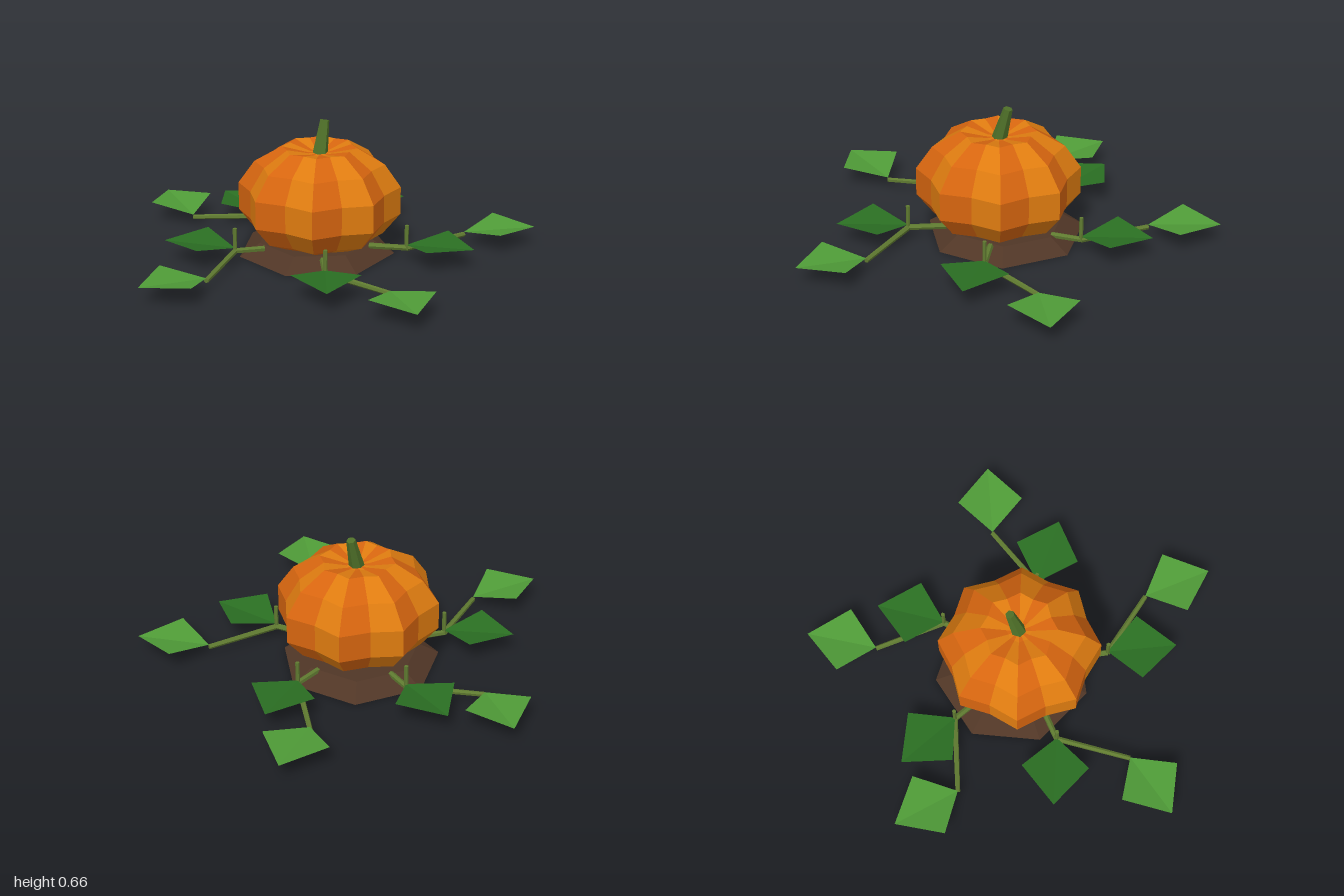
import * as THREE from 'three';
import { mergeGeometries } from 'three/addons/utils/BufferGeometryUtils.js';

const material = (name, color, extra = {}) => {
  const m = new THREE.MeshStandardMaterial({ color, flatShading: true, ...extra });
  m.name = name;
  return m;
};

export function createModel() {
  const model = new THREE.Group();
  const orange = material('orange', 0xdf7c10);
  const deepOrange = material('deepOrange', 0xd6650f);
  const soil = material('soil', 0x503626);
  const stemGreen = material('stemGreen', 0x4f7028);
  const vineGreen = material('vineGreen', 0x5f7a30);
  const darkLeaf = material('darkLeaf', 0x2a6e22, { side: THREE.DoubleSide });
  const lightLeaf = material('lightLeaf', 0x4f9b37, { side: THREE.DoubleSide });

  const add = (name, geometry, mat, parent = model) => {
    const mesh = new THREE.Mesh(geometry, mat);
    mesh.name = name;
    parent.add(mesh);
    return mesh;
  };

  // Tapered rod between two points
  const rod = (name, a, b, r0, r1, mat, parent, sides = 6) => {
    const from = new THREE.Vector3(...a), to = new THREE.Vector3(...b);
    const dir = to.clone().sub(from);
    const mesh = add(name, new THREE.CylinderGeometry(r1, r0, dir.length(), sides), mat, parent);
    mesh.position.copy(from).add(to).multiplyScalar(0.5);
    mesh.quaternion.setFromUnitVectors(new THREE.Vector3(0, 1, 0), dir.normalize());
    return mesh;
  };

  // Seven-sided soil mound
  const mound = add('soilMound', new THREE.CylinderGeometry(0.28, 0.38, 0.06, 7), soil);
  mound.position.set(0.1, 0.03, -0.05);
  mound.rotation.y = THREE.MathUtils.degToRad(92.6);

  // Pumpkin: sixteen strips, with eight ridges and eight shallow valleys
  const profile = [
    [0, 0.05], [0.18, 0.05], [0.305, 0.105], [0.387, 0.205], [0.387, 0.34],
    [0.31, 0.45], [0.18, 0.527], [0.06, 0.502], [0, 0.5],
  ].map(([r, y]) => new THREE.Vector2(r, y));
  const strips = [[], []];
  const step = Math.PI / 8;
  for (let i = 0; i < 16; i++) {
    const strip = new THREE.LatheGeometry(profile, 1, i * step, step);
    const p = strip.attributes.position;
    for (let k = 0; k < p.count; k++) {
      const column = i + (k < profile.length ? 0 : 1);
      const s = column % 2 ? 0.88 : 1;
      p.setXYZ(k, p.getX(k) * s, p.getY(k), p.getZ(k) * s);
    }
    strips[i % 2].push(strip);
  }
  const pumpkin = new THREE.Group();
  pumpkin.name = 'pumpkin';
  pumpkin.position.set(0.088, 0, -0.012);
  model.add(pumpkin);
  add('pumpkinDeepStrips', mergeGeometries(strips[0]), deepOrange, pumpkin);
  add('pumpkinLightStrips', mergeGeometries(strips[1]), orange, pumpkin);

  // Leaning stem
  rod('stem', [0.092, 0.49, -0.012], [0.133, 0.65, -0.027], 0.037, 0.022, stemGreen, model);

  // Kite-shaped leaf folded along a low midrib
  const leaf = (name, [bx, bz], [tx, tz], lift, mat, parent) => {
    const dx = tx - bx, dz = tz - bz, len = Math.hypot(dx, dz);
    const cx = bx + dx * 0.46, cz = bz + dz * 0.46;
    const sx = (-dz / len) * 0.16, sz = (dx / len) * 0.16;
    const base = [bx, 0.06 + lift, bz], tip = [tx, 0.085 + lift, tz];
    const left = [cx - sx, 0.1 + lift, cz - sz], right = [cx + sx, 0.1 + lift, cz + sz];
    const g = new THREE.BufferGeometry();
    g.setAttribute('position', new THREE.Float32BufferAttribute(
      [base, tip, left, base, right, tip].flat(), 3));
    g.computeVertexNormals();
    add(name, g, mat, parent);
  };

  // Each vine: root, joint, end, then tips of the inner and outer leaves (x, z)
  const vines = [
    [[0.09, -0.30], [0.095, -0.435], [-0.18, -0.67], [0.10, -0.775], [-0.10, -0.998]],
    [[0.36, -0.09], [0.497, -0.14], [0.63, -0.47], [0.775, -0.325], [0.905, -0.67]],
    [[0.23, 0.19], [0.335, 0.337], [0.69, 0.365], [0.49, 0.635], [0.955, 0.58]],
    [[-0.06, 0.19], [-0.168, 0.335], [-0.083, 0.68], [-0.38, 0.595], [-0.21, 0.992]],
    [[-0.18, -0.10], [-0.315, -0.15], [-0.625, 0.04], [-0.548, -0.393], [-0.96, -0.015]],
  ];
  for (const [root, joint, end, innerTip, outerTip] of vines) {
    const vine = new THREE.Group();
    vine.name = 'vine';
    model.add(vine);
    const at = ([x, z], y) => [x, y, z];
    rod('vineRoot', at(root, 0.055), at(joint, 0.062), 0.015, 0.014, vineGreen, vine);
    rod('vineRunner', at(joint, 0.06), at(end, 0.052), 0.014, 0.012, vineGreen, vine);
    rod('tendril', at(joint, 0.055), at(joint, 0.175), 0.01, 0.01, vineGreen, vine);
    leaf('innerLeaf', joint, innerTip, 0.016, darkLeaf, vine);
    leaf('outerLeaf', end, outerTip, 0.004, lightLeaf, vine);
  }

  return model;
}
